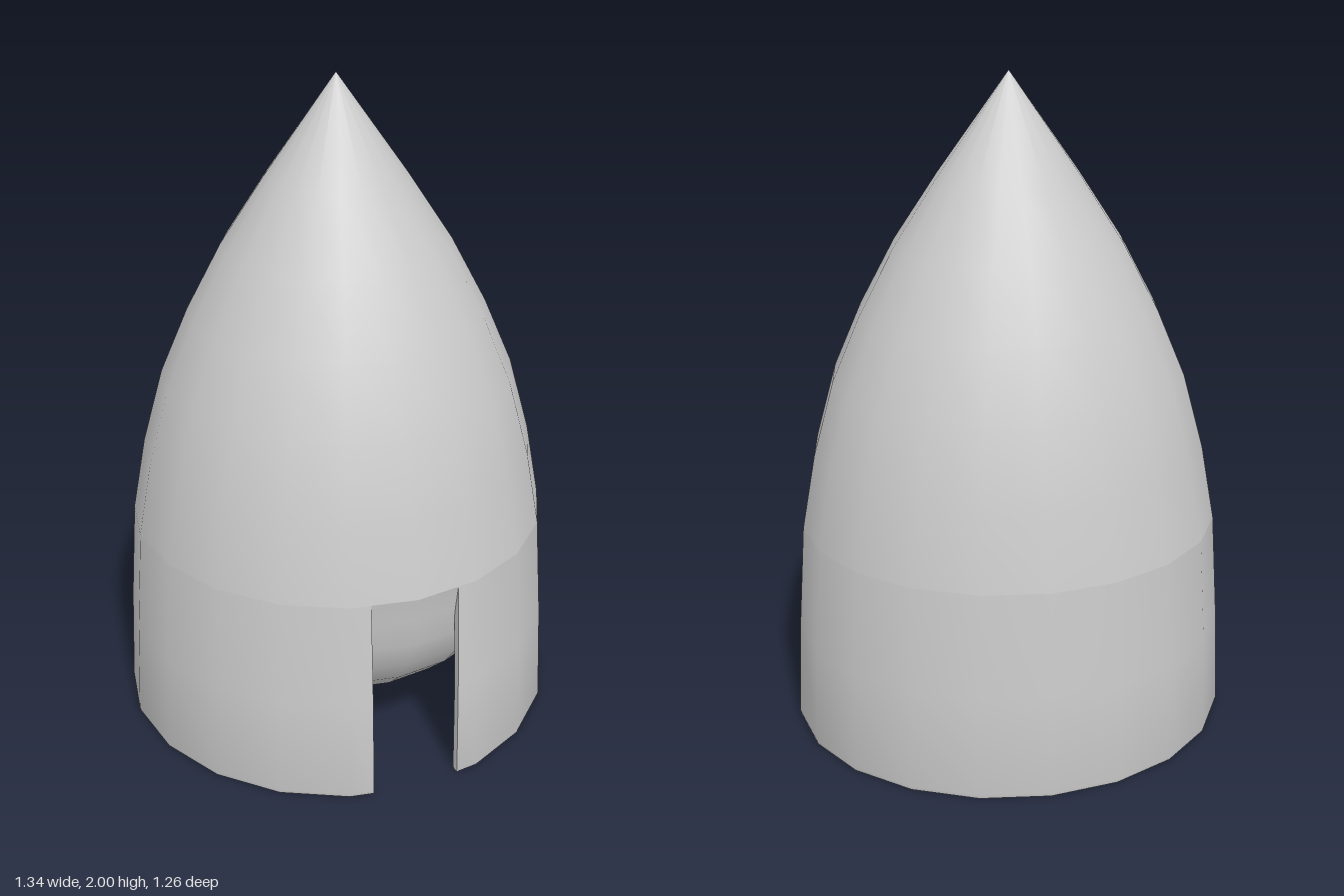
import * as THREE from 'three';
import { toCreasedNormals } from 'three/addons/utils/BufferGeometryUtils.js';

const SIDES = 20, CENTRE_Z = -0.018, BACK = 0.91, SLOT = 0.135;

// Point on a ring: round in front, slightly flattened at the back
function ringPoint(i, r, y) {
  const a = (i / SIDES) * Math.PI * 2, c = Math.cos(a);
  return new THREE.Vector3(r * Math.sin(a), y, CENTRE_Z + r * c * (c < 0 ? BACK : 1));
}

// Same ring, but its first and last points are cut back to the slot edges
function slottedPoint(i, r, y) {
  if (i > 0 && i < SIDES) return ringPoint(i, r, y);
  const next = ringPoint(i === 0 ? 1 : SIDES - 1, r, y);
  return ringPoint(0, r, y).lerp(next, SLOT / Math.abs(next.x));
}

// Skin a profile of [radius, y] pairs listed from top to bottom
function loft(profile, point, crease, caps = []) {
  const pos = [], index = [], n = SIDES + 1;
  for (const [r, y] of profile)
    for (let i = 0; i < n; i++) pos.push(...point(i, r, y).toArray());
  for (let j = 0; j < profile.length - 1; j++)
    for (let i = 0; i < SIDES; i++) {
      const a = j * n + i, b = a + n;
      if (profile[j + 1][0] > 0) index.push(a, b, b + 1);
      if (profile[j][0] > 0) index.push(a, b + 1, a + 1);
    }
  // flat slot walls: each cap joins an outer pair of rows to an inner pair
  for (const [o0, o1, i1, i0] of caps) {
    const [a, b, c, d] = [o0, o1, i1, i0].map((j) => j * n);
    index.push(a, c, b, a, d, c);
    const e = SIDES;
    index.push(a + e, b + e, c + e, a + e, c + e, d + e);
  }
  const g = new THREE.BufferGeometry();
  g.setAttribute('position', new THREE.Float32BufferAttribute(pos, 3));
  g.setIndex(index);
  return toCreasedNormals(g, crease);
}

export function createModel() {
  const group = new THREE.Group();
  const material = new THREE.MeshStandardMaterial({ color: 0xcccccc, side: THREE.DoubleSide });
  const add = (name, geometry) => {
    const mesh = new THREE.Mesh(geometry, material);
    mesh.name = name;
    group.add(mesh);
  };

  // Pointed upper shell
  add('noseShell', loft([[0, 2], [0.21, 1.7], [0.34, 1.5], [0.445, 1.3], [0.53, 1.1],
    [0.593, 0.87], [0.635, 0.64]], ringPoint, 1));

  // Rounded underside, seen through the slot and from below
  const bowl = [[0.635, 0.64]];
  for (let k = 0; k <= 8; k++) {
    const a = (k / 8) * Math.PI / 2;
    bowl.push([k === 8 ? 0 : 0.62 * Math.cos(a), 0.56 - 0.475 * Math.sin(a)]);
  }
  add('roundedUnderside', loft(bowl, ringPoint, 1));

  // Thin skirt with a slot at the front: outer wall, rim, inner wall
  add('slottedSkirt', loft([[0.635, 0.64], [0.657, 0.32], [0.67, 0.012], [0.667, 0],
    [0.645, 0], [0.642, 0.012], [0.632, 0.32], [0.612, 0.6]], slottedPoint, 0.6,
  [[0, 1, 6, 7], [1, 2, 5, 6], [2, 3, 4, 5]]));

  return group;
}
